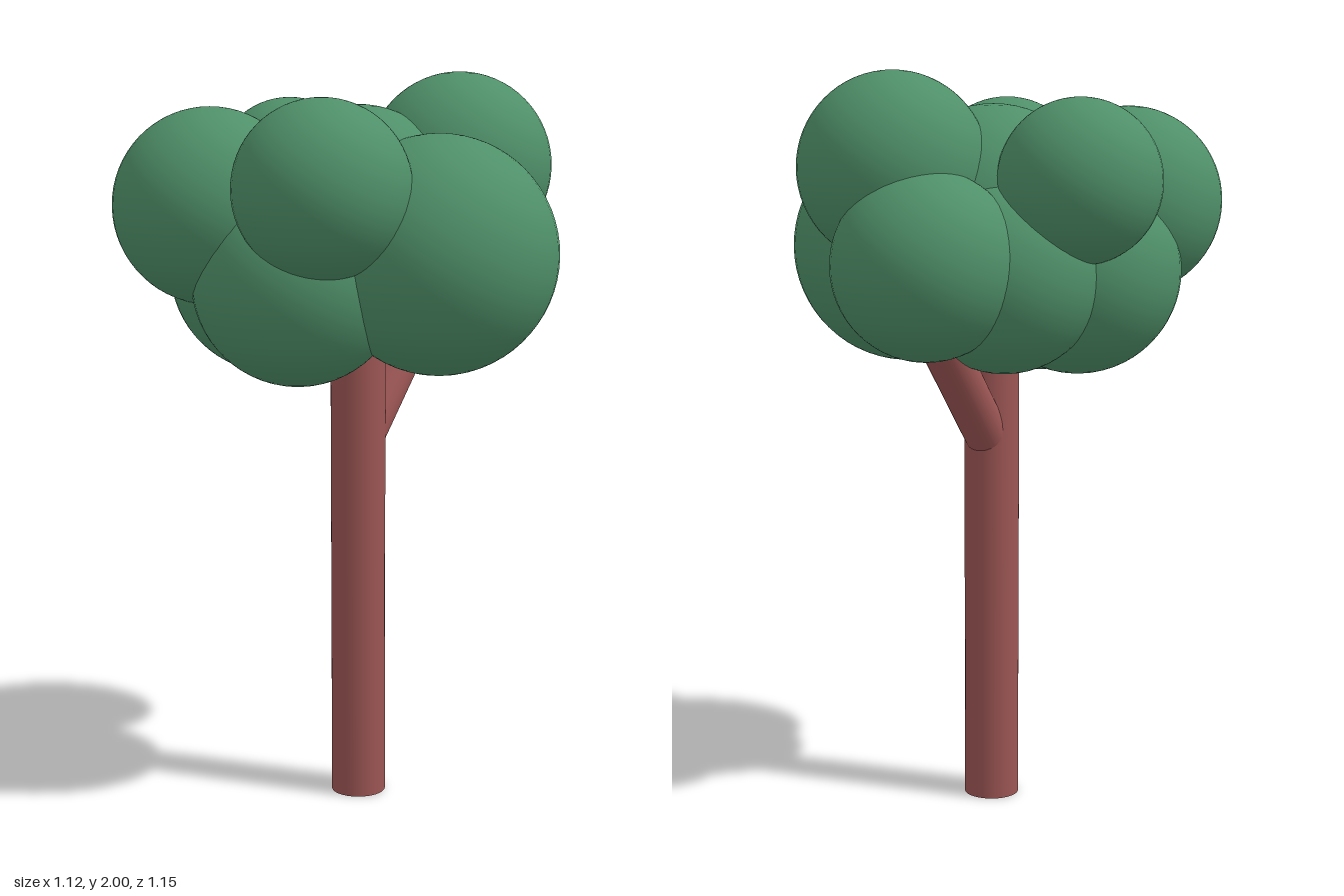
import * as THREE from 'three';

export function createModel() {
  const tree = new THREE.Group();
  tree.name = 'tree';
  const bark = new THREE.MeshStandardMaterial({ color: 0x9c5654 });
  const leaf = new THREE.MeshStandardMaterial({ color: 0x4f9069 });

  // Straight round log between two points
  function log(name, from, to, radius) {
    const a = new THREE.Vector3(...from), b = new THREE.Vector3(...to);
    const dir = b.clone().sub(a);
    const mesh = new THREE.Mesh(new THREE.CylinderGeometry(radius, radius, dir.length(), 32), bark);
    mesh.position.copy(a).add(b).multiplyScalar(0.5);
    mesh.quaternion.setFromUnitVectors(new THREE.Vector3(0, 1, 0), dir.normalize());
    mesh.name = name;
    tree.add(mesh);
  }
  log('trunk', [-0.027, 0, 0.013], [-0.027, 1.4, 0.013], 0.075);
  log('branch', [-0.027, 1.0, 0.004], [-0.027, 1.4, -0.34], 0.06);

  // Crown of overlapping leaf balls: x, y, z, radius
  const crown = new THREE.Group();
  crown.name = 'crown';
  const balls = {
    centreLeaves: [-0.03, 1.615, 0.015, 0.3],
    leftLeaves: [0.24, 1.527, 0.013, 0.316],
    upperBackLeaves: [0.125, 1.747, -0.243, 0.253],
    upperFrontLeaves: [0.113, 1.707, 0.345, 0.23],
    frontRightLeaves: [-0.285, 1.65, 0.315, 0.26],
    upperRightLeaves: [-0.345, 1.715, -0.09, 0.215],
    backLeaves: [-0.03, 1.503, -0.333, 0.247],
    lowerFrontLeaves: [-0.06, 1.46, 0.23, 0.28],
    lowerRightLeaves: [-0.23, 1.47, 0.125, 0.28],
    lowerBackLeaves: [-0.14, 1.47, -0.12, 0.26],
  };
  for (const [name, [x, y, z, r]] of Object.entries(balls)) {
    const ball = new THREE.Mesh(new THREE.SphereGeometry(r, 48, 32), leaf);
    ball.position.set(x, y, z);
    ball.name = name;
    crown.add(ball);
  }
  tree.add(crown);
  return tree;
}
